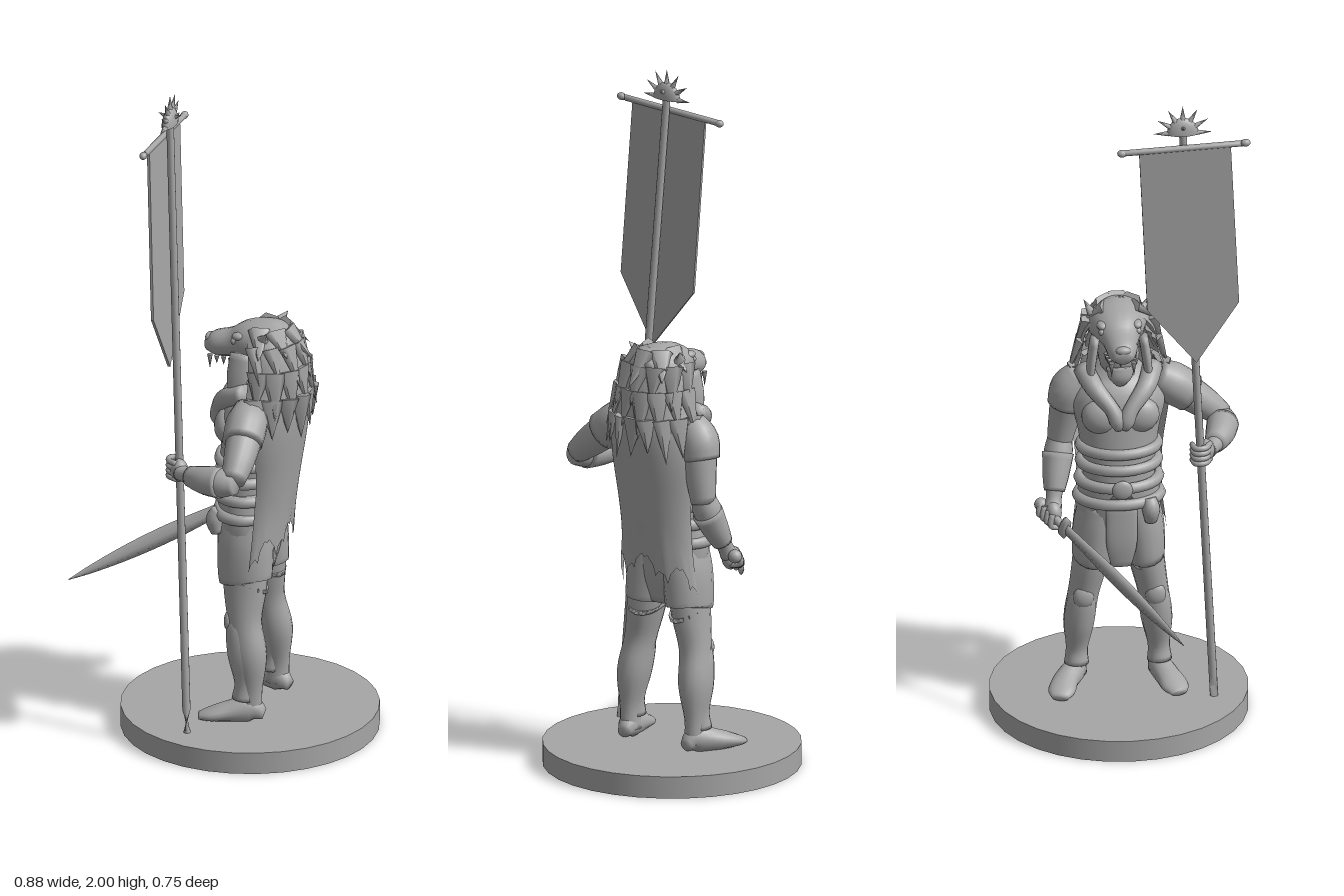
import * as THREE from 'three';

const V = (x, y, z) => new THREE.Vector3(x, y, z);

export function createModel() {
  const root = new THREE.Group();
  const grey = new THREE.MeshStandardMaterial({ color: 0xa6a6a6, side: THREE.DoubleSide });
  grey.name = 'plain grey';

  function add(name, geo, parent = root) {
    const m = new THREE.Mesh(geo, grey);
    m.name = name;
    parent.add(m);
    return m;
  }
  function grid(pos, rows, cols, closed, extra = []) {
    const idx = [];
    for (let i = 0; i < rows - 1; i++) for (let j = 0; j < (closed ? cols : cols - 1); j++) {
      const k = (j + 1) % cols, a = i * cols + j, b = i * cols + k;
      idx.push(a, b, b + cols, a, b + cols, a + cols);
    }
    const g = new THREE.BufferGeometry();
    g.setAttribute('position', new THREE.Float32BufferAttribute(pos, 3));
    g.setIndex(idx.concat(extra));
    g.computeVertexNormals();
    return g;
  }
  // Capped loft through rings [x, y, z, a, b]; b is the radius along ref
  function loft(name, rings, { sides = 16, ref = V(0, 0, 1), steps = 4, parent = root } = {}) {
    const path = new THREE.CatmullRomCurve3(rings.map(r => V(r[0], r[1], r[2])), false, 'catmullrom');
    const rad = new THREE.CatmullRomCurve3(rings.map(r => V(r[3], r[4] ?? r[3], 0)), false, 'catmullrom');
    const n = (rings.length - 1) * steps, pos = [], extra = [];
    for (let i = 0; i <= n; i++) {
      const c = path.getPoint(i / n), r = rad.getPoint(i / n), T = path.getTangent(i / n);
      const B = ref.clone().addScaledVector(T, -ref.dot(T)).normalize(), N = B.clone().cross(T);
      for (let j = 0; j < sides; j++) {
        const t = j / sides * Math.PI * 2;
        const p = c.clone().addScaledVector(N, r.x * Math.cos(t)).addScaledVector(B, r.y * Math.sin(t));
        pos.push(p.x, p.y, p.z);
      }
    }
    const s = (n + 1) * sides, f = rings[0], l = rings[rings.length - 1];
    pos.push(f[0], f[1], f[2], l[0], l[1], l[2]);
    for (let j = 0; j < sides; j++) {
      const k = (j + 1) % sides;
      extra.push(s, k, j, s + 1, n * sides + j, n * sides + k);
    }
    return add(name, grid(pos, n + 1, sides, true, extra), parent);
  }
  function cone(name, base, dir, r, h, sides = 6, flat = 1) {
    const g = new THREE.ConeGeometry(r, h, sides).translate(0, h / 2, 0).scale(1, 1, flat);
    const m = add(name, g);
    m.quaternion.setFromUnitVectors(V(0, 1, 0), dir.clone().normalize());
    m.position.copy(base);
    return m;
  }
  function ball(name, x, y, z, rx, ry = rx, rz = rx) {
    const m = add(name, new THREE.SphereGeometry(1, 18, 12));
    m.scale.set(rx, ry, rz);
    m.position.set(x, y, z);
    return m;
  }

  // Base disc
  add('base', new THREE.CylinderGeometry(0.373, 0.373, 0.065, 32)).position.set(0.066, 0.0325, 0);

  // Legs, greaves and feet
  for (const s of [1, -1]) {
    loft('leg', [[0.08, 0.58, 0.065 * s, 0.068, 0.06], [0.08, 0.46, 0.082 * s, 0.064, 0.052],
      [0.085, 0.36, 0.1 * s, 0.05, 0.045], [0.102, 0.26, 0.112 * s, 0.053, 0.045],
      [0.108, 0.16, 0.118 * s, 0.036, 0.028], [0.107, 0.09, 0.118 * s, 0.036, 0.03]]);
    loft('greave', [[0.07, 0.38, 0.102 * s, 0.03, 0.026], [0.073, 0.34, 0.105 * s, 0.042, 0.042],
      [0.087, 0.26, 0.113 * s, 0.047, 0.044], [0.093, 0.18, 0.118 * s, 0.032, 0.032],
      [0.09, 0.13, 0.12 * s, 0.036, 0.036]]);
    ball('kneeGuard', 0.043, 0.36, 0.104 * s, 0.018, 0.035, 0.03);
    const out = s > 0 ? 0 : -0.015;
    loft('foot', [[0.148, 0.085, 0.112 * s, 0.016, 0.018], [0.11, 0.1, 0.12 * s, 0.038, 0.032],
      [0.05, 0.092, 0.14 * s + out, 0.03, 0.037], [0, 0.083, 0.157 * s + out, 0.019, 0.039],
      [-0.032, 0.077, 0.165 * s + out, 0.01, 0.024]]);
    loft('shortsLeg', [[0.075, 0.66, 0.05 * s, 0.08, 0.062], [0.075, 0.58, 0.063 * s, 0.083, 0.068],
      [0.077, 0.49, 0.073 * s, 0.08, 0.062], [0.08, 0.485, 0.073 * s, 0.07, 0.055]]);
  }
  loft('hips', [[0.065, 0.75, 0, 0.09, 0.11], [0.07, 0.66, 0, 0.088, 0.122], [0.075, 0.57, 0, 0.08, 0.11],
    [0.08, 0.49, 0, 0.055, 0.06]], { sides: 24 });
  loft('loincloth', [[-0.012, 0.68, 0, 0.01, 0.045], [-0.014, 0.56, 0, 0.01, 0.045], [-0.005, 0.48, 0, 0.008, 0.03]]);

  // Torso, belts and straps
  loft('torso', [[0.065, 0.7, 0, 0.088, 0.105], [0.065, 0.8, 0, 0.084, 0.105], [0.075, 0.9, 0, 0.088, 0.12],
    [0.08, 0.98, 0, 0.085, 0.135], [0.095, 1.04, 0, 0.065, 0.1], [0.1, 1.1, 0, 0.045, 0.05]], { sides: 24 });
  for (const [y, rx, rz] of [[0.68, 0.086, 0.117], [0.735, 0.09, 0.113], [0.79, 0.087, 0.11], [0.84, 0.084, 0.11]]) {
    const m = add('belt', new THREE.TorusGeometry(1, 0.16, 8, 32).rotateX(Math.PI / 2));
    m.scale.set(rx, 0.11, rz);
    m.position.set(0.064, y, 0);
  }
  ball('buckle', -0.036, 0.735, 0, 0.012, 0.03, 0.03);
  for (const s of [1, -1]) {
    ball('chestPlate', 0.02, 0.95, 0.055 * s, 0.04, 0.055, 0.058);
    loft('hidePaw', [[0.09, 1.07, 0.1 * s, 0.03], [0.02, 1.04, 0.075 * s, 0.028],
      [-0.018, 0.99, 0.03 * s, 0.022], [-0.026, 0.95, 0.012 * s, 0.024], [-0.022, 0.925, 0.01 * s, 0.012]]);
  }
  loft('pouch', [[0.0, 0.69, 0.08, 0.02], [-0.012, 0.66, 0.085, 0.026], [-0.005, 0.62, 0.085, 0.018]]);

  // Face beneath the hood
  ball('face', 0.075, 1.125, 0, 0.062, 0.075, 0.06);
  cone('nose', V(0.022, 1.135, 0), V(-0.5, -1, 0), 0.012, 0.03);
  loft('beard', [[0.03, 1.1, 0, 0.028, 0.04], [0.022, 1.07, 0, 0.024, 0.034], [0.02, 1.045, 0, 0.008, 0.012]]);

  // Hooded hide: rows of centre x, y, x radius, z radius, half angle
  const hide = [[0.14, 1.262, 0.02, 0.02, 2.9], [0.13, 1.245, 0.065, 0.062, 2.4], [0.125, 1.19, 0.095, 0.1, 1.9],
    [0.13, 1.1, 0.11, 0.118, 1.85], [0.12, 1.02, 0.122, 0.142, 1.75], [0.12, 0.93, 0.112, 0.145, 1.5],
    [0.12, 0.8, 0.092, 0.128, 1.45], [0.11, 0.7, 0.088, 0.125, 1.45], [0.1, 0.61, 0.088, 0.138, 1.45]];
  const hideA = new THREE.CatmullRomCurve3(hide.map(h => V(h[0], h[1], h[4])), false, 'catmullrom');
  const hideB = new THREE.CatmullRomCurve3(hide.map(h => V(h[2], h[3], 0)), false, 'catmullrom');
  function hidePoint(t, u) {
    const a = hideA.getPoint(t), b = hideB.getPoint(t), q = a.z * u;
    return V(a.x + b.x * Math.cos(q), a.y, 0.006 + b.y * Math.sin(q));
  }
  const pos = [], rows = 33, cols = 41;
  const drop = [0.07, 0.04, -0.02, 0.02, 0, -0.05, -0.01, 0.02, -0.03, 0.03, 0.06];
  for (let i = 0; i < rows; i++) for (let j = 0; j < cols; j++) {
    const p = hidePoint(i / (rows - 1), j / (cols - 1) * 2 - 1);
    const d = j / 4, k = Math.min(9, Math.floor(d));
    const low = Math.max(0, (0.75 - p.y) / 0.14);
    p.y -= low * (THREE.MathUtils.lerp(drop[k], drop[k + 1], d - k) + (j % 4 === 0 ? 0.02 : 0));
    pos.push(p.x, p.y, p.z);
  }
  add('hideCape', grid(pos, rows, cols, false));

  // Shaggy mane tufts
  [[0.08, 5, 0.09], [0.2, 7, 0.1], [0.31, 8, 0.11], [0.42, 9, 0.1]].forEach(([t, n, h], r) => {
    for (let i = 0; i < n; i++) {
      const u = ((i + 0.5) / n * 2 - 1) * 0.95, p = hidePoint(t, u), q = hidePoint(t + 0.12, u);
      const dir = q.sub(p).normalize().add(V(0.1 * Math.cos(u * 1.8), 0, 0.1 * Math.sin(u * 1.8)));
      const m = cone('maneTuft', p, dir, 0.038, h + 0.015 * ((i + r) % 3), 5, 0.45);
      m.rotateY(-u * 1.8 + Math.PI / 2);
    }
  });

  // Beast head worn as the hood
  loft('beastSkull', [[0.2, 1.18, 0, 0.05, 0.05], [0.14, 1.195, 0, 0.07, 0.085], [0.075, 1.202, 0, 0.058, 0.076],
    [0.02, 1.187, 0, 0.042, 0.052], [-0.035, 1.175, 0, 0.037, 0.041], [-0.064, 1.168, 0, 0.018, 0.024]]);
  ball('beastNose', -0.055, 1.192, 0, 0.014, 0.013, 0.022);
  for (const s of [1, -1]) {
    cone('beastEar', V(0.125, 1.225, 0.07 * s), V(0.5, 0.8, 0.5 * s), 0.026, 0.05, 8, 0.6);
    ball('beastBrow', 0.05, 1.225, 0.05 * s, 0.022, 0.012, 0.016);
    ball('beastEye', 0.035, 1.21, 0.052 * s, 0.01);
    for (let i = 0; i < 4; i++)
      cone('beastTooth', V(-0.045 + i * 0.022, 1.15, 0.032 * s + i * 0.003 * s), V(0, -1, 0), 0.008, i ? 0.025 : 0.045);
    loft('beastCheek', [[0.06, 1.18, 0.07 * s, 0.03, 0.014], [0.055, 1.11, 0.08 * s, 0.032, 0.014],
      [0.045, 1.05, 0.085 * s, 0.016, 0.01]]);
  }

  // Left arm, bent out to hold the banner
  loft('leftUpperArm', [[0.11, 1.0, 0.11, 0.05], [0.115, 0.98, 0.18, 0.052], [0.12, 0.93, 0.25, 0.046],
    [0.12, 0.885, 0.305, 0.034]], { ref: V(1, 0, 0) });
  loft('leftShoulderGuard', [[0.105, 1.035, 0.11, 0.045], [0.11, 1.005, 0.155, 0.06], [0.115, 0.965, 0.21, 0.058]], { ref: V(1, 0, 0) });
  loft('leftForearm', [[0.13, 0.88, 0.305, 0.032], [0.08, 0.875, 0.302, 0.043], [0.02, 0.868, 0.285, 0.036],
    [-0.035, 0.865, 0.262, 0.023], [-0.06, 0.865, 0.245, 0.025]], { ref: V(0, 1, 0) });
  loft('leftBracer', [[0.085, 0.876, 0.302, 0.047], [0.03, 0.87, 0.288, 0.042], [-0.025, 0.866, 0.266, 0.03]], { ref: V(0, 1, 0) });
  ball('leftPalm', -0.066, 0.868, 0.238, 0.026, 0.034, 0.025);
  for (let i = 0; i < 4; i++) {
    const y = 0.843 + i * 0.016;
    loft('leftFinger', [[-0.07, y, 0.25, 0.009], [-0.1, y, 0.232, 0.009], [-0.1, y, 0.205, 0.009],
      [-0.07, y, 0.197, 0.008]], { sides: 8, ref: V(0, 1, 0) });
  }

  // Right arm, hanging to the sword
  loft('rightUpperArm', [[0.11, 1.03, -0.1, 0.045], [0.115, 0.99, -0.135, 0.052], [0.125, 0.9, -0.152, 0.045],
    [0.13, 0.82, -0.165, 0.036]]);
  loft('rightShoulderGuard', [[0.11, 1.045, -0.1, 0.045], [0.113, 1.0, -0.135, 0.058], [0.118, 0.945, -0.148, 0.054]]);
  loft('rightForearm', [[0.13, 0.84, -0.163, 0.034], [0.115, 0.79, -0.17, 0.042], [0.085, 0.73, -0.18, 0.033],
    [0.06, 0.68, -0.188, 0.023], [0.045, 0.65, -0.192, 0.026]]);
  loft('rightBracer', [[0.118, 0.79, -0.17, 0.046], [0.088, 0.73, -0.18, 0.038], [0.068, 0.692, -0.186, 0.03]]);
  ball('rightPalm', 0.035, 0.64, -0.192, 0.032, 0.035, 0.024);
  for (let i = 0; i < 4; i++) {
    const x = 0.008 + i * 0.014, z = -0.172 - i * 0.01, y = 0.622 + i * 0.006;
    loft('rightFinger', [[x, y + 0.025, z - 0.025, 0.009], [x - 0.008, y - 0.008, z - 0.03, 0.009],
      [x, y - 0.018, z, 0.008]], { sides: 8, ref: V(1, 0, 0) });
  }

  // Sword
  const tip = V(-0.44, 0.43, 0.135), butt = V(0.06, 0.655, -0.225);
  const along = (t, a, b) => { const p = butt.clone().lerp(tip, t); return [p.x, p.y, p.z, a, b]; };
  const flat = V(0.58, 0, 0.81);
  loft('swordBlade', [along(0.16, 0.018, 0.006), along(0.3, 0.021, 0.006), along(0.5, 0.028, 0.006),
    along(0.7, 0.025, 0.005), along(0.88, 0.014, 0.004), along(1, 0.001, 0.001)], { sides: 4, ref: flat });
  loft('swordGrip', [along(0, 0.012), along(0.16, 0.012)], { sides: 10, ref: flat });
  loft('swordGuard', [along(0.15, 0.034, 0.014), along(0.18, 0.034, 0.014)], { ref: flat });
  ball('pommel', 0.06, 0.655, -0.225, 0.02);

  // Banner pole, crossbar and cloth
  loft('bannerPole', [[-0.033, 0.06, 0.265, 0.012], [-0.12, 1.92, 0.165, 0.011]], { sides: 12 });
  loft('crossbar', [[-0.138, 1.882, 0.34, 0.009], [-0.138, 1.867, -0.005, 0.009]], { sides: 10, ref: V(0, 1, 0) });
  ball('barEnd', -0.138, 1.883, 0.345, 0.011, 0.011, 0.014);
  ball('barEnd', -0.138, 1.866, -0.012, 0.011, 0.011, 0.014);
  const outline = [[0.302, 1.875], [0.037, 1.87], [0.063, 1.35], [0.206, 1.172], [0.328, 1.365]];
  const cloth = new THREE.ExtrudeGeometry(new THREE.Shape(outline.map(p => new THREE.Vector2(-p[0], p[1]))),
    { depth: 0.008, bevelEnabled: false }).rotateY(Math.PI / 2);
  const cp = cloth.attributes.position;
  for (let i = 0; i < cp.count; i++) cp.setX(i, cp.getX(i) - 0.142 + (1.87 - cp.getY(i)) * 0.042);
  cloth.computeVertexNormals();
  add('bannerCloth', cloth);

  // Spiked half-sun finial
  const dome = add('finialDome', new THREE.SphereGeometry(1, 20, 8, 0, Math.PI * 2, 0, Math.PI / 2));
  dome.scale.set(0.02, 0.05, 0.046);
  dome.position.set(-0.12, 1.912, 0.165);
  const lid = add('finialBottom', new THREE.CircleGeometry(1, 20).rotateX(Math.PI / 2));
  lid.scale.set(0.02, 1, 0.046);
  lid.position.copy(dome.position);
  for (let i = 0; i < 7; i++) {
    const a = i / 6 * Math.PI, d = V(0, Math.sin(a), Math.cos(a));
    cone('finialSpike', V(-0.12, 1.915 + 0.04 * d.y, 0.165 + 0.04 * d.z), d, 0.009, 0.045);
  }
  for (const s of [1, -1]) cone('finialSpike', V(-0.12 + 0.012 * s, 1.935, 0.165), V(s, 0.4, 0), 0.008, 0.025);
  return root;
}
